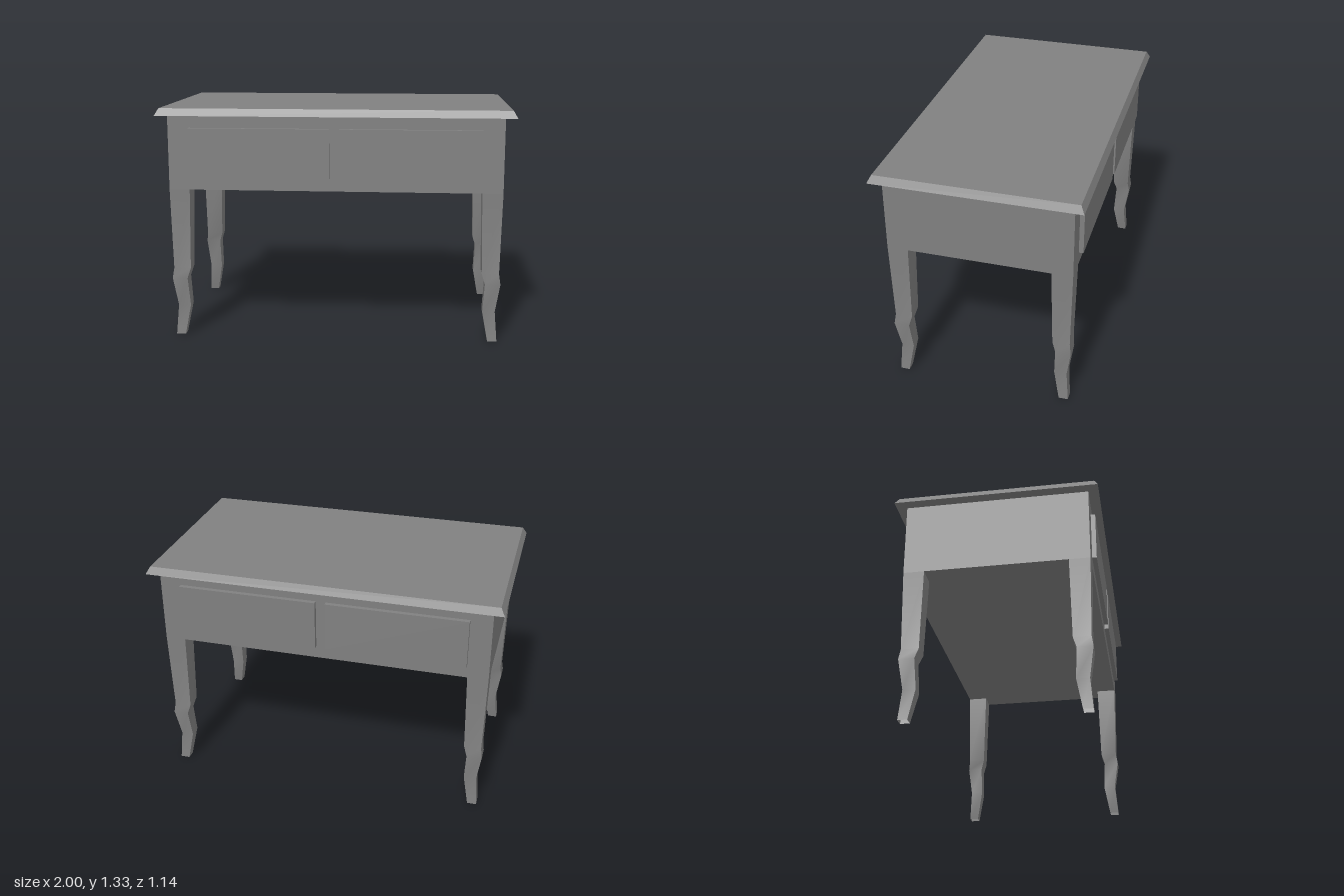
import * as THREE from 'three';
import { toCreasedNormals } from 'three/addons/utils/BufferGeometryUtils.js';

const material = new THREE.MeshStandardMaterial({ color: 0x808080, side: THREE.DoubleSide });
const HALF_X = 0.94, HALF_Z = 0.512;   // outer corner of the body and legs
const BODY_BOTTOM = 0.862, BODY_TOP = 1.285, TABLE_TOP = 1.326;

// Leg sections from top to foot: [height, outer inset, inner inset] from the body corner
const LEG = [
  [BODY_BOTTOM, 0, 0.116],
  [0.4, 0.009, 0.106],
  [0.34, 0, 0.087],
  [0.173, 0.025, 0.096],
  [0, 0.011, 0.064],
];

function addMesh(parent, name, geometry) {
  const mesh = new THREE.Mesh(geometry, material);
  mesh.name = name;
  parent.add(mesh);
  return mesh;
}

function addBox(parent, name, [x0, x1], [y0, y1], [z0, z1]) {
  const mesh = addMesh(parent, name, new THREE.BoxGeometry(x1 - x0, y1 - y0, z1 - z0));
  mesh.position.set((x0 + x1) / 2, (y0 + y1) / 2, (z0 + z1) / 2);
}

// Open four-sided tube bent to the leg sections: sharp corners, smooth along its length
function legGeometry(sx, sz) {
  const rows = LEG.length - 1;
  const geometry = new THREE.CylinderGeometry(1, 1, 1, 4, rows, true, Math.PI / 4);
  const p = geometry.attributes.position;
  for (let i = 0; i < p.count; i++) {
    const [y, outer, inner] = LEG[Math.round((0.5 - p.getY(i)) * rows)];
    const x = HALF_X - (p.getX(i) * sx > 0 ? outer : inner);
    const z = HALF_Z - (p.getZ(i) * sz > 0 ? outer : inner);
    p.setXYZ(i, sx * x, y, sz * z);
  }
  return toCreasedNormals(geometry, 0.7);
}

// Slab whose upper face is smaller than its lower face
function tableTopGeometry() {
  const geometry = new THREE.BoxGeometry(2, TABLE_TOP - BODY_TOP, 1.14);
  const p = geometry.attributes.position;
  for (let i = 0; i < p.count; i++) {
    if (p.getY(i) > 0) {
      p.setX(i, Math.sign(p.getX(i)) * 0.977);
      p.setZ(i, Math.sign(p.getZ(i)) * 0.549);
    }
  }
  geometry.computeVertexNormals();
  return geometry;
}

export function createModel() {
  const table = new THREE.Group();
  table.name = 'table';

  // Body and bevelled top
  addBox(table, 'body', [-HALF_X, HALF_X], [BODY_BOTTOM, BODY_TOP], [-HALF_Z, HALF_Z]);
  addMesh(table, 'tableTop', tableTopGeometry()).position.y = (BODY_TOP + TABLE_TOP) / 2;

  // Four legs, and two drawer fronts on both the front and the back
  for (const sz of [1, -1]) {
    const end = sz > 0 ? 'front' : 'back';
    for (const sx of [1, -1]) {
      const side = sx > 0 ? 'Left' : 'Right';
      addMesh(table, `${end}${side}Leg`, legGeometry(sx, sz));
      const xs = sx > 0 ? [0.028, 0.819] : [-0.819, -0.028];
      const zs = sz > 0 ? [HALF_Z - 0.01, 0.537] : [-0.537, 0.01 - HALF_Z];
      addBox(table, `${end}${side}Drawer`, xs, [0.934, 1.214], zs);
    }
  }
  return table;
}
